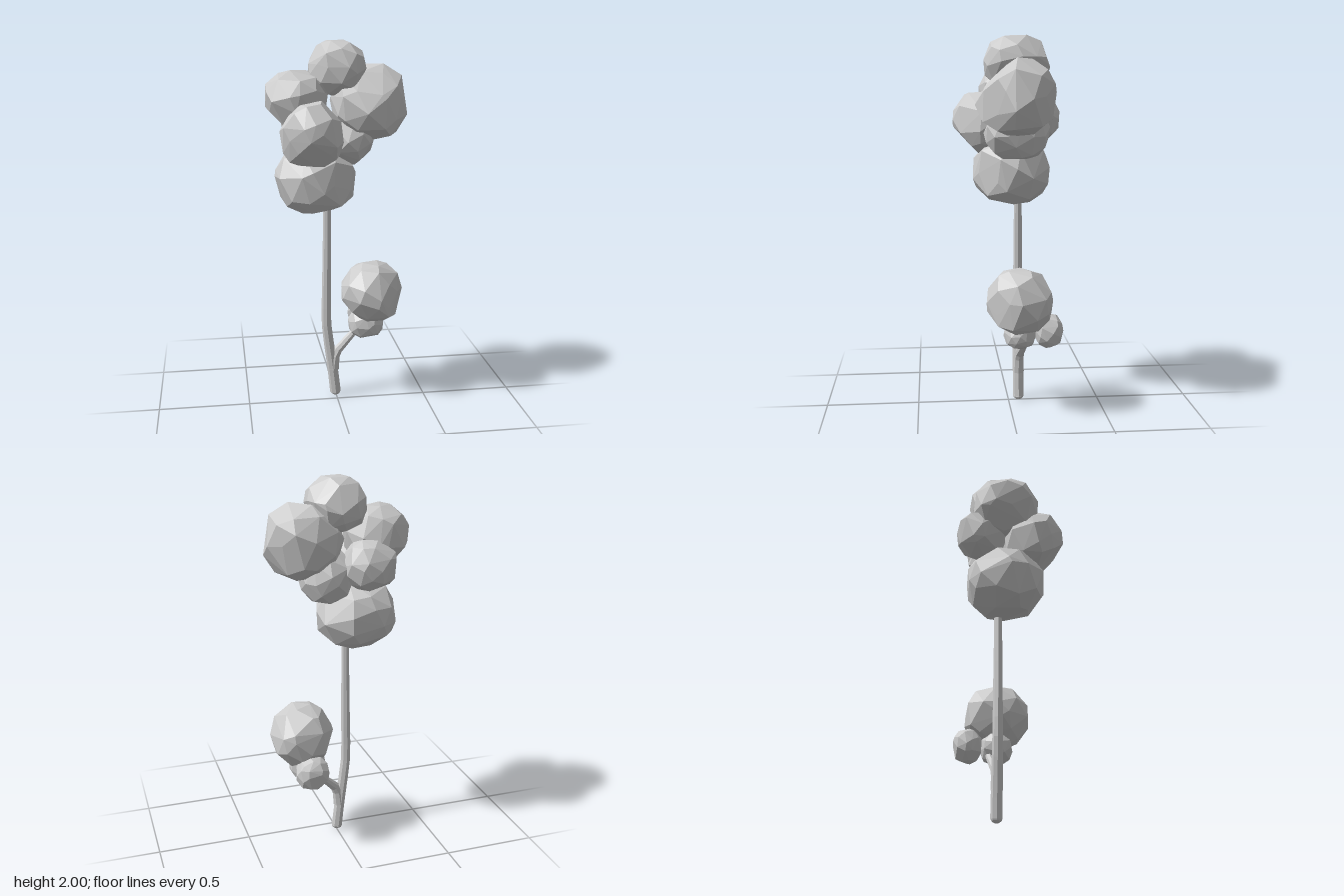
import * as THREE from 'three';
import { ConvexGeometry } from 'three/addons/geometries/ConvexGeometry.js';

const material = new THREE.MeshStandardMaterial({ color: 0xcccccc, flatShading: true });

function seeded(seed) {
  let s = seed * 7919 + 17;
  return () => (s = (s * 16807) % 2147483647) / 2147483647;
}

// Faceted foliage clump: jittered points on a slightly boxy ball, fitted to a box,
// then pressed flat by cuts [direction x, y, z, distance] and hulled
function makeClump(name, center, radii, cuts, seed) {
  const rand = seeded(seed);
  for (let i = 0; i < 5; i++) rand();
  const count = 42, points = [];
  const spin = new THREE.Euler(rand() * 6, rand() * 6, rand() * 6);
  for (let i = 0; i < count; i++) {
    const y = 1 - (2 * i + 1) / count, r = Math.sqrt(1 - y * y), a = i * 2.39996;
    const p = new THREE.Vector3(r * Math.cos(a), y, r * Math.sin(a));
    p.add(new THREE.Vector3(rand() - 0.5, rand() - 0.5, rand() - 0.5).multiplyScalar(0.35));
    p.applyEuler(spin);
    const norm = p.toArray().reduce((sum, c) => sum + Math.abs(c) ** 2.3, 0) ** (1 / 2.3);
    points.push(p.divideScalar(norm));
  }
  const box = new THREE.Box3().setFromPoints(points);
  const middle = box.getCenter(new THREE.Vector3());
  const half = box.getSize(new THREE.Vector3()).multiplyScalar(0.5);
  for (const p of points) {
    p.sub(middle).divide(half);
    for (const [x, y, z, distance] of cuts) {
      const n = new THREE.Vector3(x, y, z).normalize();
      p.addScaledVector(n, -Math.max(0, p.dot(n) - distance));
    }
    p.multiply(new THREE.Vector3(...radii));
  }
  const mesh = new THREE.Mesh(new ConvexGeometry(points), material);
  mesh.name = name;
  mesh.position.set(...center);
  return mesh;
}

// Tapered limb: a tube whose rings shrink from r0 to r1
function makeLimb(name, path, r0, r1, segments, sides) {
  const curve = new THREE.CatmullRomCurve3(path.map(p => new THREE.Vector3(...p)));
  const geometry = new THREE.TubeGeometry(curve, segments, 1, sides);
  const pos = geometry.attributes.position, v = new THREE.Vector3();
  for (let i = 0; i < pos.count; i++) {
    const t = Math.floor(i / (sides + 1)) / segments;
    const c = curve.getPointAt(t);
    v.fromBufferAttribute(pos, i).sub(c).multiplyScalar(r0 + (r1 - r0) * t).add(c);
    pos.setXYZ(i, v.x, v.y, v.z);
  }
  geometry.computeVertexNormals();
  const mesh = new THREE.Mesh(geometry, material);
  mesh.name = name;
  return mesh;
}

export function createModel() {
  const tree = new THREE.Group();
  tree.name = 'tree';

  // Trunk, its rounded foot and the side branch
  tree.add(makeLimb('trunk', [
    [-0.004, 0.02, -0.056], [-0.016, 0.13, -0.056], [-0.034, 0.27, -0.056], [-0.054, 0.43, -0.056],
    [-0.053, 0.7, -0.056], [-0.05, 1.0, -0.056], [-0.05, 1.25, -0.056],
  ], 0.031, 0.02, 12, 8));
  const foot = new THREE.Mesh(new THREE.SphereGeometry(0.03, 8, 6), material);
  foot.name = 'trunkFoot';
  foot.scale.y = 0.7;
  foot.position.set(-0.004, 0.021, -0.056);
  tree.add(foot);
  tree.add(makeLimb('branch', [
    [-0.016, 0.16, -0.056], [0.0, 0.255, -0.058], [0.05, 0.31, -0.07],
    [0.115, 0.375, -0.085], [0.17, 0.44, -0.09],
  ], 0.032, 0.015, 9, 8));

  // Foliage: name, center, half sizes, flattened sides
  const clumps = [
    ['crownTop', [0.003, 1.855, -0.042], [0.153, 0.145, 0.177], [[1, -1, 0, 0.85], [-1, 0, 1, 0.92]]],
    ['crownLeft', [0.17, 1.68, -0.025], [0.205, 0.2, 0.21], [[1, 0, 1, 0.8], [0, 1, 1, 0.74], [1, 0, -1, 0.96]]],
    ['crownRight', [-0.215, 1.695, -0.032], [0.165, 0.157, 0.177], [[-1, -1, 0, 0.85]]],
    ['crownFront', [-0.152, 1.535, 0.13], [0.163, 0.175, 0.165],
      [[0, -1, 1, 0.76], [-1, 0, 1, 0.87], [-1, 1, 0, 0.9], [1, 1, 0, 0.93]]],
    ['crownBack', [-0.145, 1.565, -0.16], [0.14, 0.135, 0.135], []],
    ['crownInner', [0.055, 1.495, -0.04], [0.138, 0.145, 0.175], []],
    ['crownBottom', [-0.115, 1.28, -0.021], [0.22, 0.18, 0.208], [[1, 0, 1, 0.85]]],
    ['branchLarge', [0.2, 0.615, -0.04], [0.172, 0.172, 0.175], [[1, 0, 1, 0.8], [-1, -1, 0, 0.87], [0, -1, 1, 0.93]]],
    ['branchSmallFront', [0.168, 0.435, -0.045], [0.1, 0.087, 0.087], []],
    ['branchSmallBack', [0.18, 0.45, -0.198], [0.092, 0.092, 0.077], []],
  ];
  clumps.forEach(([name, center, radii, cuts], i) => tree.add(makeClump(name, center, radii, cuts, i + 3)));
  return tree;
}
